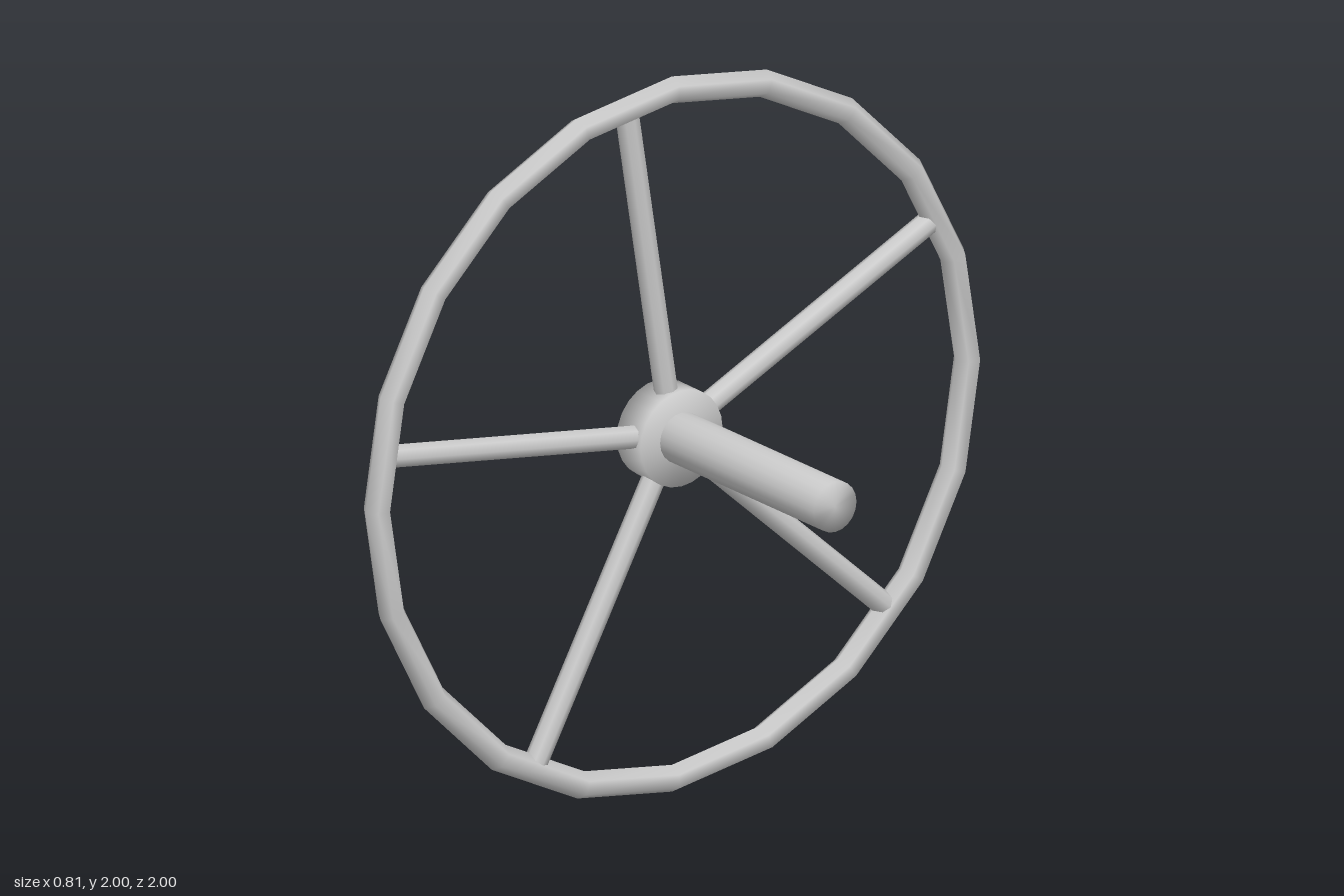
import * as THREE from 'three';

const material = new THREE.MeshStandardMaterial({ color: 0xcccccc });

function add(parent, name, geometry) {
  const mesh = new THREE.Mesh(geometry, material);
  mesh.name = name;
  parent.add(mesh);
  return mesh;
}

// Closed round bar along +x from x0 to x1, with softly shaded ends
function barX(radius, x0, x1, sides) {
  const profile = [[0, x0], [radius, x0], [radius, x1], [0, x1]]
    .map(([r, h]) => new THREE.Vector2(r, h));
  return new THREE.LatheGeometry(profile, sides).rotateZ(-Math.PI / 2);
}

export function createModel() {
  const model = new THREE.Group();
  model.name = 'wheelWithAxle';

  // Wheel, turning about the x axis
  const wheel = new THREE.Group();
  wheel.name = 'wheel';
  wheel.position.set(-0.318, 1, 0);
  model.add(wheel);

  // Twenty-sided rim with a hexagonal section
  add(wheel, 'rim', new THREE.TorusGeometry(0.9625, 0.0375, 6, 20).rotateY(Math.PI / 2));

  // Hub drum and its outer cap
  add(wheel, 'hub', barX(0.134, -0.063, 0.042, 24));
  add(wheel, 'hubCap', barX(0.055, -0.089, -0.05, 20));

  // Five slightly uneven spokes; angles run from up towards the front
  const inner = 0.08, outer = 0.935;
  [9, 81.3, 151.5, 227.7, 296].forEach((degrees, i) => {
    const spoke = new THREE.CylinderGeometry(0.032, 0.032, outer - inner, 8);
    spoke.translate(0, (inner + outer) / 2, 0);
    spoke.rotateX(THREE.MathUtils.degToRad(degrees));
    add(wheel, 'spoke' + (i + 1), spoke);
  });

  // Axle, tilted up very slightly towards its free end
  const axle = add(model, 'axle', barX(0.07, 0, 0.7, 20));
  axle.position.set(-0.3, 1.002, 0);
  axle.rotation.z = 0.012;

  return model;
}
